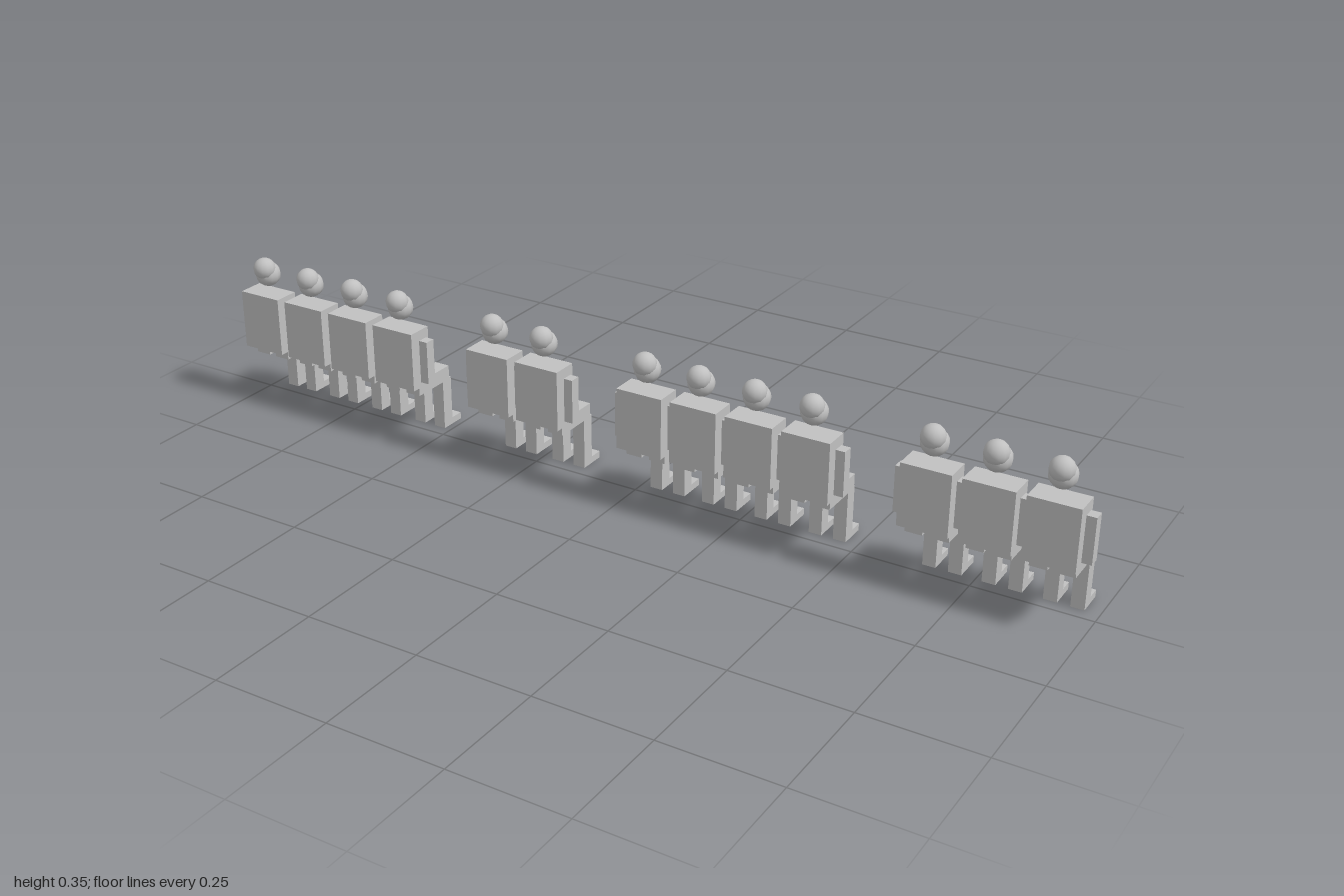
import * as THREE from 'three';

export function createModel() {
  const model = new THREE.Group();
  model.name = 'seatedPeople';
  const grey = new THREE.MeshStandardMaterial({ color: 0xc0c0c0 });
  grey.name = 'plain grey';

  // Box geometry from its x centre, width, and y and z limits
  const slab = (x, w, y0, y1, z0, z1) =>
    new THREE.BoxGeometry(w, y1 - y0, z1 - z0).translate(x, (y0 + y1) / 2, (z0 + z1) / 2);

  // Shared body parts; each person sits facing -z
  const parts = [
    ['torso', slab(0, 0.104, 0.138, 0.27, 0.03, 0.088)],
    ['head', new THREE.SphereGeometry(0.0278, 12, 10).translate(0, 0.312, 0.054)],
    ['hair', new THREE.SphereGeometry(0.0248, 12, 10).translate(0, 0.327, 0.064)],
  ];
  for (const [side, s] of [['left', 1], ['right', -1]]) {
    parts.push(
      [side + 'Arm', slab(s * 0.061, 0.022, 0.15, 0.247, 0.038, 0.062)],
      [side + 'Thigh', slab(s * 0.027, 0.036, 0.115, 0.147, -0.046, 0.061)],
      [side + 'Shin', slab(s * 0.027, 0.028, 0, 0.116, -0.057, -0.028)],
      [side + 'Foot', slab(s * 0.027, 0.0278, 0, 0.015, -0.088, -0.056)],
    );
  }

  // A row of sixteen places, three of them empty
  const pitch = 1.856 / 15;
  for (let i = 0; i < 16; i++) {
    if ([4, 7, 12].includes(i)) continue;
    const person = new THREE.Group();
    person.name = 'person' + i;
    for (const [name, geometry] of parts) {
      const mesh = new THREE.Mesh(geometry, grey);
      mesh.name = name;
      person.add(mesh);
    }
    person.position.x = -0.928 + i * pitch;
    model.add(person);
  }
  return model;
}
